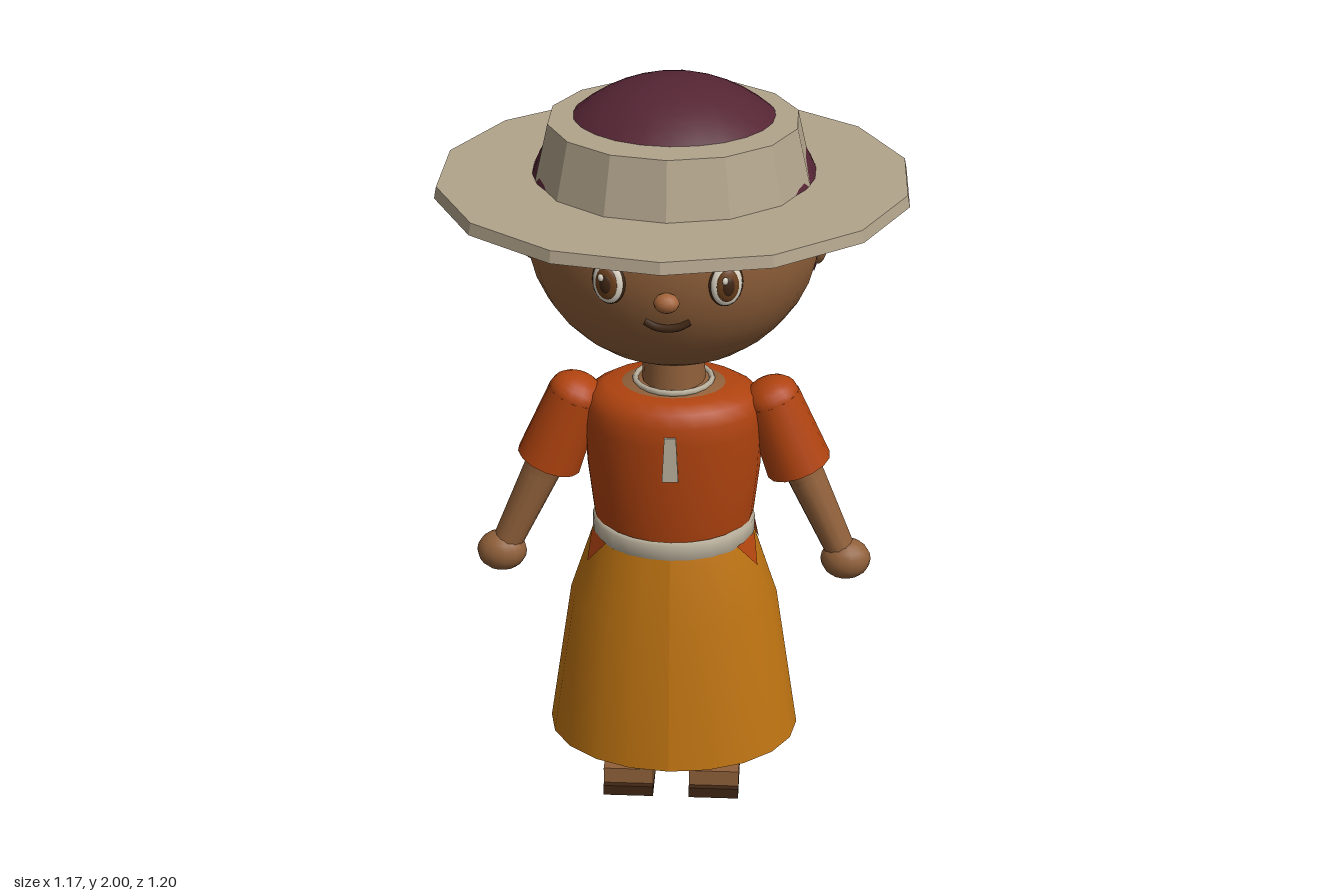
import * as THREE from 'three';

const mat = (name, color, side = THREE.FrontSide) => {
  const m = new THREE.MeshStandardMaterial({ color, side });
  m.name = name;
  return m;
};
const V = (x, y, z) => new THREE.Vector3(x, y, z);

export function createModel() {
  const root = new THREE.Group();
  root.name = 'girlInStrawHat';
  const M = {
    skin: mat('skin', 0x90603a),
    nose: mat('nose', 0xa3643a),
    hair: mat('hair', 0x552534, THREE.DoubleSide),
    straw: mat('straw', 0xb2a48c),
    trim: mat('trim', 0xbab09c),
    shirt: mat('shirt', 0xb0430f, THREE.DoubleSide),
    skirt: mat('skirt', 0xbf7412, THREE.DoubleSide),
    dark: mat('darkBrown', 0x3f2614),
    white: mat('eyeWhite', 0xe0d8c8),
    iris: mat('iris', 0x6a3f1c),
  };

  const add = (name, geo, material, pos = [0, 0, 0], scale = [1, 1, 1], parent = root) => {
    const mesh = new THREE.Mesh(geo, material);
    mesh.name = name;
    mesh.position.set(...pos);
    mesh.scale.set(...scale);
    parent.add(mesh);
    return mesh;
  };
  const flat = (geo) => {
    const g = geo.toNonIndexed();
    g.computeVertexNormals();
    return g;
  };
  const ball = (w = 20, h = 14) => new THREE.SphereGeometry(1, w, h);
  const lathe = (pts, n) => new THREE.LatheGeometry(pts.map(([r, y]) => new THREE.Vector2(r, y)), n);
  // Tapered round limb from point a (radius ra) to point b (radius rb)
  const limb = (name, a, b, ra, rb, material, sides = 12) => {
    const d = b.clone().sub(a);
    const mesh = add(name, new THREE.CylinderGeometry(rb, ra, d.length(), sides), material,
      a.clone().add(b).multiplyScalar(0.5).toArray());
    mesh.quaternion.setFromUnitVectors(V(0, 1, 0), d.normalize());
    return mesh;
  };
  const tube = (name, pts, r) =>
    add(name, new THREE.TubeGeometry(new THREE.CatmullRomCurve3(pts), 10, r, 6), M.dark);

  // Head and neck
  add('head', ball(28, 18), M.skin, [0, 1.62, -0.01], [0.375, 0.365, 0.34]);
  add('neck', new THREE.CylinderGeometry(0.078, 0.085, 0.14, 16), M.skin, [0, 1.225, 0]);
  add('nose', ball(12, 8), M.nose, [0, 1.55, 0.34], [0.032, 0.025, 0.027]);
  tube('mouth', [V(-0.055, 1.485, 0.299), V(-0.03, 1.472, 0.303), V(0, 1.468, 0.305),
    V(0.03, 1.472, 0.303), V(0.055, 1.485, 0.299)], 0.01);

  // Hair: tilted cap, back panel and gathered tail
  const cap = add('hairCap', new THREE.SphereGeometry(1, 28, 12, 0, Math.PI * 2, 0, 1.377), M.hair,
    [0, 1.615, -0.02], [0.385, 0.385, 0.37]);
  cap.rotation.x = -0.22;
  add('hairBack', new THREE.SphereGeometry(1, 20, 16, Math.PI + 0.13, Math.PI - 0.26, 0, 1.943), M.hair,
    [0, 1.615, -0.02], [0.386, 0.385, 0.371]);
  const tail = limb('hairTail', V(0, 1.835, -0.34), V(0, 1.58, -0.555), 0.092, 0.001, M.hair, 8);
  tail.geometry = flat(tail.geometry);

  // Hat
  add('hatBrim', flat(new THREE.CylinderGeometry(0.594, 0.6, 0.03, 14)), M.straw, [0, 1.745, 0]);
  add('hatCrown', flat(new THREE.CylinderGeometry(0.315, 0.35, 0.15, 14)), M.straw, [0, 1.83, 0]);

  // Shirt with neck opening, collar ring and placket
  add('shirt', lathe([[0.2, 0.77], [0.213, 0.82], [0.228, 0.95], [0.235, 1.08], [0.232, 1.13],
    [0.215, 1.165], [0.18, 1.185], [0.12, 1.188]], 24), M.shirt, [0, 0, 0], [1, 1, 0.78]);
  add('upperChest', lathe([[0.15, 1.182], [0.125, 1.191], [0.08, 1.2]], 20), M.skin, [0, 0, 0], [1, 1, 0.8]);
  const collar = add('collar', new THREE.TorusGeometry(0.1, 0.008, 6, 20), M.trim, [0, 1.197, 0]);
  collar.rotation.x = Math.PI / 2;
  const placket = new THREE.Shape([[-0.021, 0.985], [0.021, 0.985], [0.015, 1.11], [-0.015, 1.11]]
    .map(([x, y]) => new THREE.Vector2(x, y)));
  add('placket', new THREE.ExtrudeGeometry(placket, { depth: 0.009, bevelEnabled: false }), M.trim, [0, 0, 0.178]);

  // Belt and open skirt
  add('belt', lathe([[0.2, 0.755], [0.216, 0.757], [0.216, 0.8], [0.2, 0.803]], 24), M.trim, [0, 0, 0], [1, 1, 0.88]);
  const skirtRows = [[0.34, 0.27, 0.155], [0.278, 0.225, 0.57], [0.21, 0.185, 0.775]];
  const skirt = lathe(skirtRows.map(([r, , y]) => [r, y]), 20);
  const sp = skirt.attributes.position;
  for (let i = 0; i < sp.count; i++) {
    const [rx, rz] = skirtRows[i % 3];
    sp.setZ(i, sp.getZ(i) * rz / rx);
  }
  skirt.computeVertexNormals();
  add('skirt', skirt, M.skirt);

  for (const s of [1, -1]) {
    const side = s > 0 ? 'left' : 'right';

    // Pointed shirt tails lying on the skirt below the belt
    for (const f of [1, -1]) {
      const pts = [[0.035, 0.765], [0.12, 0.765], [0.08, 0.69]].map(([z, y]) => {
        const t = (0.775 - y) / 0.205;
        const rx = 0.217 + 0.068 * t, rz = 0.192 + 0.04 * t;
        return V(s * rx * Math.sqrt(1 - (z / rz) ** 2), y, f * z);
      });
      if (s * f > 0) pts.reverse();
      const g = new THREE.BufferGeometry().setFromPoints(pts);
      g.computeVertexNormals();
      add(side + 'ShirtTail', g, M.shirt);
    }

    // Eye, brow and ear
    const eye = new THREE.Group();
    eye.name = side + 'Eye';
    eye.position.set(s * 0.142, 1.588, 0.3);
    eye.rotation.y = s * 0.33;
    root.add(eye);
    add('eyeOutline', ball(), M.dark, [0, 0, 0], [0.044, 0.059, 0.014], eye);
    add('eyeWhite', ball(), M.white, [0, 0, 0.005], [0.04, 0.055, 0.016], eye);
    add('iris', ball(), M.iris, [0, 0, 0.014], [0.029, 0.042, 0.012], eye);
    add('pupil', ball(), M.dark, [0, 0, 0.02], [0.017, 0.026, 0.009], eye);
    add('glint', ball(8, 6), M.white, [-0.01, 0.018, 0.027], [0.008, 0.01, 0.005], eye);
    tube(side + 'Brow', [V(s * 0.1, 1.664, 0.312), V(s * 0.14, 1.674, 0.303), V(s * 0.182, 1.664, 0.288)], 0.009);
    add(side + 'Ear', ball(14, 10), M.skin, [s * 0.365, 1.58, -0.012], [0.025, 0.06, 0.044]);
    add(side + 'HairTieBead', ball(8, 6), M.white, [s * 0.062, 1.825, -0.325], [0.02, 0.022, 0.02]);

    // Puffed sleeve, arm and hand
    const top = V(s * 0.255, 1.145, 0), cuff = V(s * 0.33, 0.952, 0);
    limb(side + 'Sleeve', cuff, top, 0.088, 0.075, M.shirt, 14);
    const puff = add(side + 'SleeveTop', new THREE.SphereGeometry(0.075, 14, 6, 0, Math.PI * 2, 0, Math.PI / 2),
      M.shirt, top.toArray(), [1, 0.75, 1]);
    puff.rotation.z = s * 0.37;
    const elbow = V(s * 0.35, 0.92, 0.003), wrist = V(s * 0.447, 0.71, 0.022);
    limb(side + 'UpperArm', elbow, V(s * 0.27, 1.1, 0), 0.05, 0.055, M.skin);
    limb(side + 'Forearm', wrist, elbow, 0.04, 0.05, M.skin);
    add(side + 'Hand', ball(14, 10), M.skin, [s * 0.46, 0.688, 0.025], [0.067, 0.056, 0.055]);

    // Leg, foot and sandal
    limb(side + 'Leg', V(s * 0.115, 0.05, 0), V(s * 0.11, 0.5, 0), 0.058, 0.068, M.skin, 14);
    add(side + 'Foot', new THREE.BoxGeometry(0.12, 0.042, 0.18), M.skin, [s * 0.117, 0.05, 0.045]);
    add(side + 'ToeStrap', new THREE.BoxGeometry(0.136, 0.046, 0.075), M.skin, [s * 0.117, 0.054, 0.108]);
    add(side + 'HeelStrap', new THREE.BoxGeometry(0.13, 0.04, 0.06), M.skin, [s * 0.117, 0.053, -0.016]);
    add(side + 'Sole', new THREE.BoxGeometry(0.136, 0.03, 0.215), M.dark, [s * 0.117, 0.015, 0.053]);
  }
  return root;
}
